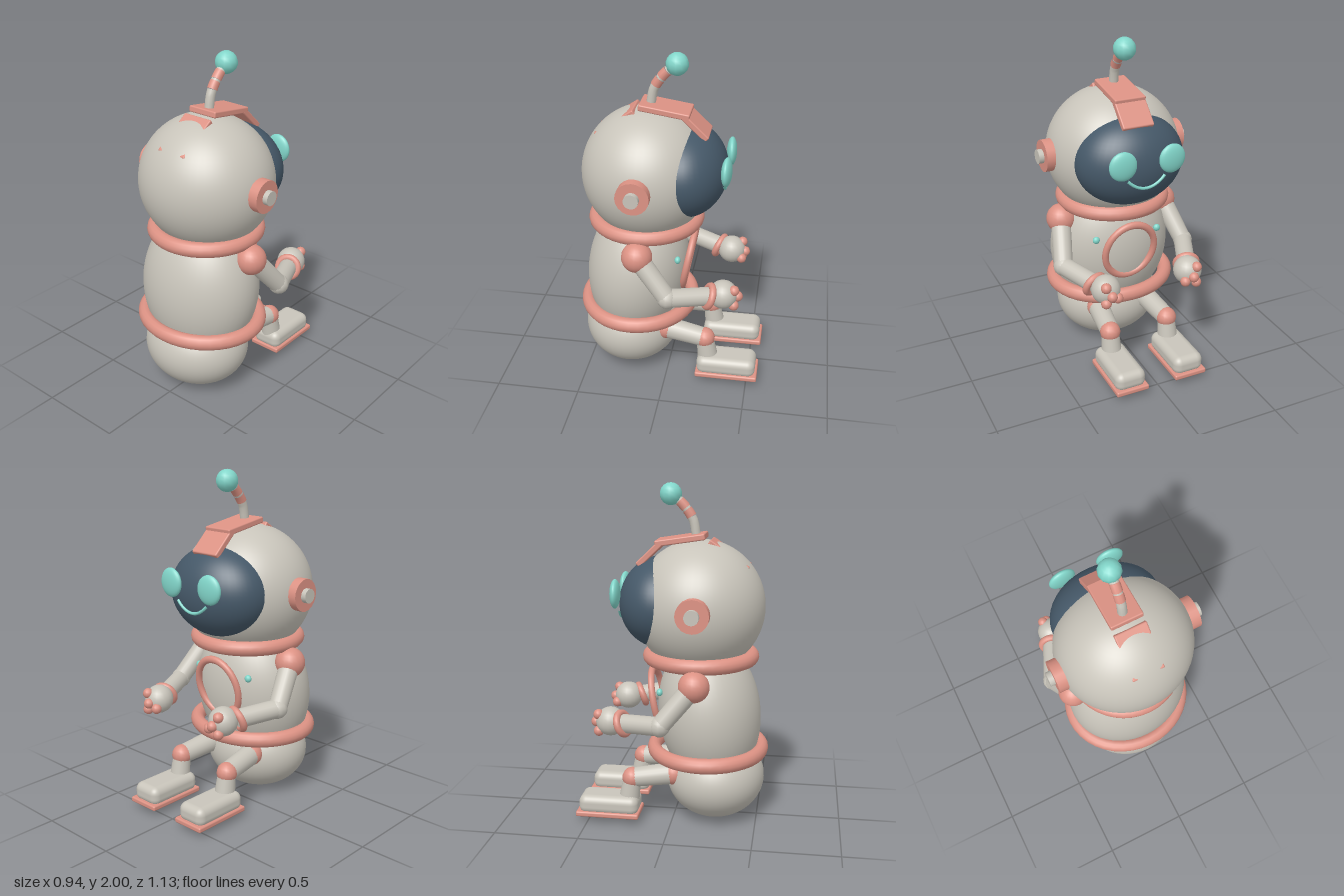
import * as THREE from 'three';
import { RoundedBoxGeometry } from 'three/addons/geometries/RoundedBoxGeometry.js';

const material = (name, color) => {
  const m = new THREE.MeshStandardMaterial({ color });
  m.name = name;
  return m;
};

export function createModel() {
  const root = new THREE.Group();
  root.name = 'robot';
  const shell = material('warm grey shell', 0xc8c4ba);
  const trim = material('salmon trim', 0xdc9284);
  const glow = material('teal lights', 0x82d6ca);
  const glass = material('dark visor', 0x455868);
  const V = (x, y, z) => new THREE.Vector3(x, y, z);

  const add = (name, geometry, mat, x = 0, y = 0, z = 0) => {
    const mesh = new THREE.Mesh(geometry, mat);
    mesh.name = name;
    mesh.position.set(x, y, z);
    root.add(mesh);
    return mesh;
  };
  const ellipsoid = (name, mat, p, r, seg = 48) => {
    const m = add(name, new THREE.SphereGeometry(1, seg, Math.ceil(seg * 0.7)), mat, ...p);
    m.scale.set(...r);
    return m;
  };
  const ball = (name, mat, p, r, seg = 20) => ellipsoid(name, mat, p, [r, r, r], seg);
  // Cylinder between two points
  const limb = (name, mat, a, b, r, r2 = r) => {
    const d = b.clone().sub(a);
    const m = add(name, new THREE.CylinderGeometry(r2, r, d.length(), 20), mat);
    m.position.copy(a).addScaledVector(d, 0.5);
    m.quaternion.setFromUnitVectors(V(0, 1, 0), d.normalize());
    return m;
  };
  // Plate whose top surface runs between two (z, y) points
  const plate = (name, z1, y1, z2, y2) => {
    const len = Math.hypot(z2 - z1, y2 - y1), t = 0.036;
    const m = add(name, new RoundedBoxGeometry(0.19, t, len, 2, 0.008), trim);
    const a = Math.atan2(y1 - y2, z2 - z1);
    m.rotation.x = a;
    m.position.set(0, (y1 + y2) / 2 - Math.cos(a) * t / 2, (z1 + z2) / 2 - Math.sin(a) * t / 2);
  };
  // Flat-lying ring
  const ring = (name, y, z, major, tube, sz) => {
    const g = new THREE.TorusGeometry(major, tube, 14, 40).rotateX(Math.PI / 2);
    add(name, g, trim, 0, y, z).scale.z = sz;
  };

  // Body
  ellipsoid('pelvis', shell, [0, 0.25, 0.245], [0.325, 0.25, 0.295]);
  ellipsoid('torso', shell, [0, 0.65, 0.205], [0.375, 0.45, 0.305]).rotation.x = -0.12;
  ring('hipRing', 0.43, 0.197, 0.36, 0.045, 0.9);
  ring('neckRing', 0.995, 0.15, 0.3, 0.045, 1);

  // Chest hoop, its lower end sunk into the torso
  const hoop = add('chestHoop', new THREE.TorusGeometry(0.16, 0.02, 12, 40), trim, 0, 0.72, -0.108);
  hoop.scale.y = 1.14;
  hoop.rotation.x = -0.185;

  // Head and visor
  ellipsoid('head', shell, [0, 1.29, 0.14], [0.4, 0.39, 0.385], 56);
  ellipsoid('visor', glass, [0, 1.31, -0.08], [0.33, 0.27, 0.25]);

  // Smile follows the visor surface
  const smile = [];
  for (let i = 0; i <= 10; i++) {
    const t = i / 5 - 1, x = 0.115 * t, y = 1.215 + 0.06 * t * t;
    const k = 1 - (x / 0.33) ** 2 - ((y - 1.31) / 0.27) ** 2;
    smile.push(V(x, y, -0.083 - 0.25 * Math.sqrt(k)));
  }
  add('smile', new THREE.TubeGeometry(new THREE.CatmullRomCurve3(smile), 30, 0.009, 8), glow);

  // Head crest plates
  plate('crestTop', -0.115, 1.675, 0.175, 1.72);
  plate('crestFront', -0.225, 1.545, -0.09, 1.675);
  plate('crestBack', 0.21, 1.687, 0.435, 1.535);

  // Antenna in alternating bands
  const path = new THREE.CatmullRomCurve3([
    V(0, 1.69, 0.12), V(0, 1.79, 0.1), V(0, 1.86, 0.055), V(0, 1.905, 0.01), V(0, 1.93, -0.025)]);
  [[0, 0.42, shell], [0.42, 0.58, trim], [0.58, 0.62, shell], [0.62, 0.8, trim], [0.8, 1, shell]]
    .forEach(([a, b, mat], i) => {
      const pts = [0, 0.25, 0.5, 0.75, 1].map(t => path.getPointAt(a + (b - a) * t));
      const r = mat === trim ? 0.03 : 0.027;
      add('antennaBand' + (i + 1), new THREE.TubeGeometry(new THREE.CatmullRomCurve3(pts), 6, r, 12), mat);
    });
  ball('antennaBall', glow, [0, 1.935, -0.03], 0.065, 12);

  // Mirrored parts
  for (const s of [1, -1]) {
    const side = s > 0 ? 'left' : 'right';
    const P = (x, y, z) => V(s * x, y, z);

    ellipsoid(side + 'Eye', glow, [s * 0.15, 1.375, -0.333], [0.082, 0.085, 0.03], 24).rotation.y = s * -0.06;
    limb(side + 'EarDisc', trim, P(0.37, 1.31, 0.15), P(0.44, 1.31, 0.15), 0.095);
    limb(side + 'EarKnob', shell, P(0.43, 1.31, 0.15), P(0.47, 1.31, 0.15), 0.042);
    ellipsoid(side + 'ChestButton', glow, [s * 0.2, 0.81, -0.066], [0.022, 0.022, 0.018], 12);

    // Arm
    const elbow = P(0.4, 0.67, -0.035), wrist = P(0.3, 0.645, -0.265);
    ball(side + 'Shoulder', trim, [s * 0.335, 0.89, 0.15], 0.09);
    limb(side + 'UpperArm', shell, P(0.345, 0.87, 0.13), elbow, 0.06, 0.055);
    ball(side + 'Elbow', shell, elbow.toArray(), 0.06, 12);
    limb(side + 'Forearm', shell, elbow, wrist, 0.055);
    const cuff = add(side + 'Cuff', new THREE.TorusGeometry(0.062, 0.021, 12, 24), trim, ...wrist.toArray());
    cuff.quaternion.setFromUnitVectors(V(0, 0, 1), V(s * 0.3, 0.35, 0.9).normalize());
    ball(side + 'Hand', shell, [s * 0.265, 0.645, -0.345], 0.085);
    [[0.29, 0.69, -0.41], [0.262, 0.638, -0.43], [0.29, 0.59, -0.41], [0.218, 0.61, -0.41]]
      .forEach(([x, y, z], i) => ball(side + 'Finger' + (i + 1), trim, [s * x, y, z], 0.031, 12));

    // Leg
    const hip = P(0.16, 0.3, 0.01), knee = P(0.19, 0.27, -0.235), ankle = P(0.19, 0.14, -0.255);
    ball(side + 'Hip', trim, hip.toArray(), 0.07);
    limb(side + 'Thigh', shell, hip, knee, 0.066, 0.058);
    ball(side + 'Knee', trim, knee.toArray(), 0.062, 14);
    limb(side + 'Shin', shell, knee, ankle, 0.052, 0.062);
    add(side + 'Foot', new RoundedBoxGeometry(0.19, 0.115, 0.36, 4, 0.045), shell, s * 0.19, 0.108, -0.372);
    add(side + 'Sole', new RoundedBoxGeometry(0.206, 0.032, 0.38, 2, 0.01), trim, s * 0.19, 0.054, -0.376);
  }
  return root;
}
